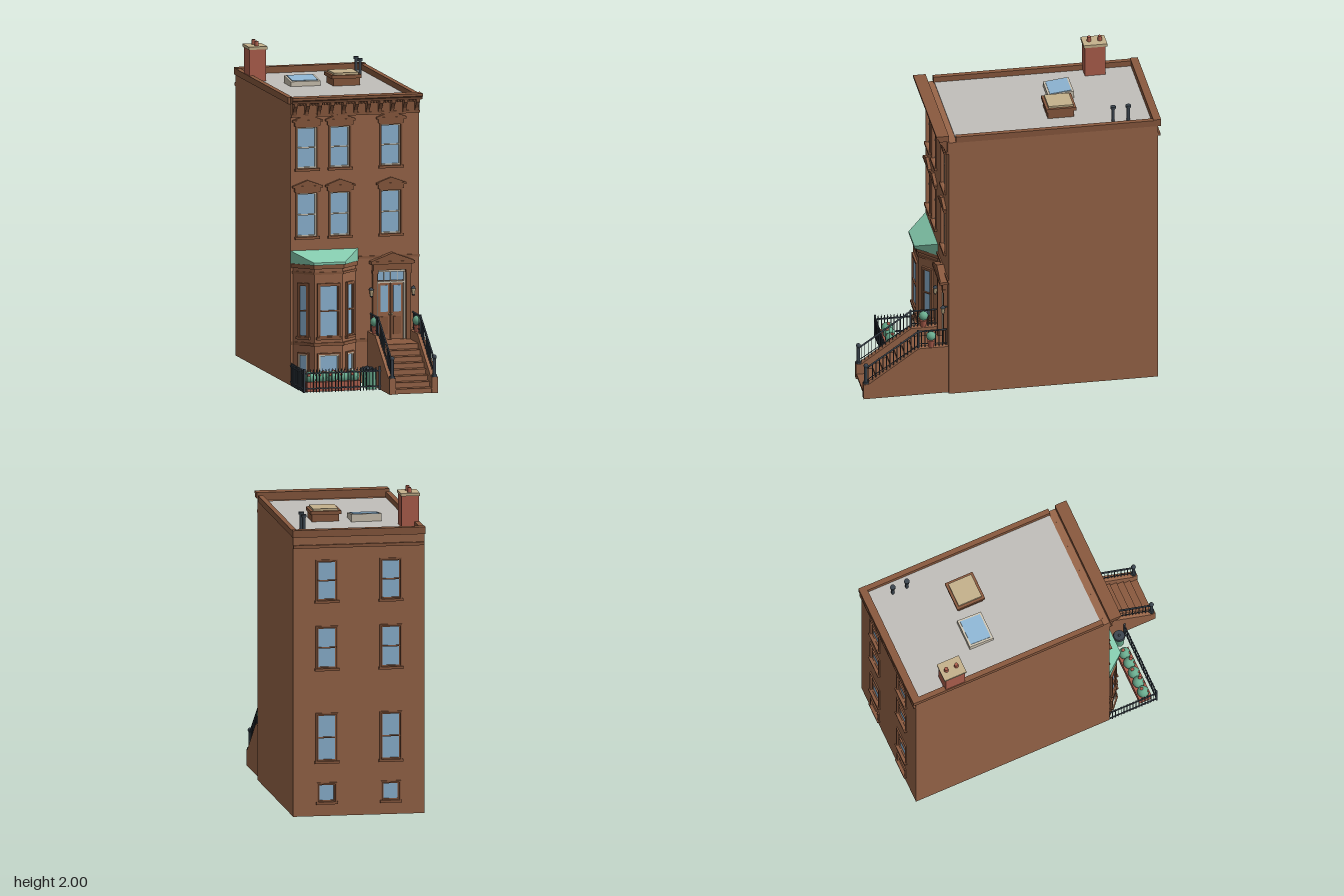
import * as THREE from 'three';
import { ConvexGeometry } from 'three/addons/geometries/ConvexGeometry.js';

const mat = (name, color) => {
  const m = new THREE.MeshStandardMaterial({ color });
  m.name = name;
  return m;
};

export function createModel() {
  const wall = mat('brownstone', 0x9a674a), trim = mat('dark brownstone', 0x8a5a3f);
  const glass = mat('window glass', 0x8fb7d6), tan = mat('tan stone', 0xc6b28c);
  const iron = mat('slate iron', 0x3c4650), roofing = mat('grey roofing', 0xc1bfbb);
  const brick = mat('red brick', 0xb0604e), leaf = mat('leaf green', 0x6bae90);
  const copper = mat('mint awning', 0x86cdb0), sash = mat('pale sash', 0xcfc6b4);
  const root = new THREE.Group();
  root.name = 'townhouse';

  // ---- helpers ----
  const add = (parent, name, geo, m, x = 0, y = 0, z = 0) => {
    const mesh = new THREE.Mesh(geo, m);
    mesh.name = name;
    mesh.position.set(x, y, z);
    parent.add(mesh);
    return mesh;
  };
  const group = (parent, name, x = 0, y = 0, z = 0, ry = 0) => {
    const g = new THREE.Group();
    g.name = name;
    g.position.set(x, y, z);
    g.rotation.y = ry;
    parent.add(g);
    return g;
  };
  // box given by its extents
  const box = (p, name, m, x0, x1, y0, y1, z0, z1) => add(p, name,
    new THREE.BoxGeometry(x1 - x0, y1 - y0, z1 - z0), m, (x0 + x1) / 2, (y0 + y1) / 2, (z0 + z1) / 2);
  const cyl = (p, name, m, r0, r1, h, x, y, z, n = 12) =>
    add(p, name, new THREE.CylinderGeometry(r1, r0, h, n), m, x, y + h / 2, z);
  const ball = (p, name, m, r, x, y, z) => add(p, name, new THREE.SphereGeometry(r, 12, 8), m, x, y, z);
  const rod = (p, name, m, a, b, r) => {
    const d = b.clone().sub(a);
    const c = add(p, name, new THREE.CylinderGeometry(r, r, d.length(), 6), m);
    c.position.copy(a).addScaledVector(d, 0.5);
    c.quaternion.setFromUnitVectors(new THREE.Vector3(0, 1, 0), d.normalize());
  };
  const V = (x, y, z) => new THREE.Vector3(x, y, z);
  const poly = pts => new THREE.Shape(pts.map(q => new THREE.Vector2(...q)));
  const extrude = (shape, depth) => new THREE.ExtrudeGeometry(shape, { depth, bevelEnabled: false });
  // profile in (z, y), swept across x from x0 to x1
  const sideProfile = (p, name, m, pts, x0, x1) =>
    add(p, name, extrude(poly(pts), x1 - x0).rotateY(-Math.PI / 2), m, x1);

  // sash window: origin at bottom centre, glass at z, frame projecting forward of it
  const sashWindow = (p, w, h, z, m, rail = true) => {
    const s = w / 2, t = 0.008;
    box(p, 'pane', glass, -s, s, 0, h, z - 0.004, z);
    for (const k of [-1, 1]) box(p, 'sashStile', m, k * (s - t / 2) - t / 2, k * (s - t / 2) + t / 2, 0, h, z, z + 0.007);
    for (const y of rail ? [0, h / 2 - t / 2, h - t] : [0, h - t]) box(p, 'sashRail', m, -s, s, y, y + t, z, z + 0.009);
  };
  const surround = (p, w, h, d) => {
    const s = w / 2, t = 0.01;
    for (const k of [-1, 1]) box(p, 'jamb', trim, k * (s + t / 2) - t / 2, k * (s + t / 2) + t / 2, 0, h, 0, d);
    box(p, 'head', trim, -s - t, s + t, h, h + t, 0, d);
    box(p, 'sill', trim, -s - 0.016, s + 0.016, -0.016, 0, 0, d + 0.008);
  };
  const pediment = (p, w, y, rise, d) => {
    box(p, 'frieze', trim, -w * 0.43, w * 0.43, y, y + 0.026, 0, d * 0.6);
    box(p, 'pedimentShelf', trim, -w / 2, w / 2, y + 0.026, y + 0.038, 0, d);
    add(p, 'gable', extrude(poly([[-w / 2, y + 0.038], [w / 2, y + 0.038], [0, y + 0.038 + rise]]), d * 0.85), trim);
  };
  // wall with real openings; outer surface at local z = 0
  const facade = (p, openings) => {
    const s = poly([[-0.41, 0], [0.41, 0], [0.41, 1.75], [-0.41, 1.75]]);
    for (const [x, y, w, h] of openings) s.holes.push(new THREE.Path(
      [[-1, 0], [-1, 1], [1, 1], [1, 0]].map(([a, b]) => new THREE.Vector2(x + a * w / 2, y + b * h))));
    add(p, 'facadeWall', extrude(s, 0.03), wall, 0, 0, -0.03);
  };

  // ---- shell, open underneath ----
  for (const k of [-1, 1]) box(root, 'sideWall', wall, k * 0.395 - 0.015, k * 0.395 + 0.015, 0, 1.75, -0.88, 0.37);
  box(root, 'roofDeck', wall, -0.38, 0.38, 1.72, 1.7495, -0.88, 0.37);
  box(root, 'roofSurface', roofing, -0.385, 0.385, 1.75, 1.755, -0.885, 0.35);
  for (const k of [-1, 1]) box(root, 'parapet', trim, k * 0.399 - 0.016, k * 0.399 + 0.016, 1.75, 1.79, -0.885, 0.355);

  // ---- front facade ----
  const front = group(root, 'frontFacade', 0, 0, 0.40);
  const tall = [];
  for (const x of [-0.305, -0.095, 0.23]) tall.push([x, 0.925, 0.125, 0.27], [x, 1.35, 0.125, 0.255]);
  facade(front, [...tall, [0.232, 0.265, 0.185, 0.43]]);
  for (const [x, y, w, h] of tall) {
    const g = group(front, 'frontWindow', x, y);
    sashWindow(g, w, h, -0.02, sash);
    surround(g, w, h, 0.008);
    pediment(g, 0.19, h + 0.01, 0.035, 0.022);
  }
  box(front, 'waterTable', trim, -0.41, 0.08, 0.255, 0.275, 0, 0.008);
  box(front, 'stringCourse', trim, 0.02, 0.41, 0.775, 0.79, 0, 0.008);

  // ---- front cornice ----
  box(front, 'corniceArchitrave', trim, -0.41, 0.41, 1.672, 1.69, 0, 0.018);
  box(front, 'corniceFrieze', trim, -0.41, 0.41, 1.69, 1.765, 0, 0.01);
  sideProfile(front, 'corniceCrown', trim, [[0, 1.762], [0.06, 1.762], [0.066, 1.778], [0.078, 1.785], [0.078, 1.8], [0, 1.8]], -0.415, 0.415);
  for (let i = 0; i < 11; i++) {
    const x = -0.39 + i * 0.078;
    sideProfile(front, 'corniceBracket', trim, [[0, 1.68], [0.02, 1.68], [0.026, 1.705], [0.042, 1.73], [0.056, 1.745], [0.058, 1.763], [0, 1.763]], x - 0.011, x + 0.011);
    for (let j = 1; j < 4 && i < 10; j++) box(front, 'dentil', trim, x + j * 0.0195 - 0.005, x + j * 0.0195 + 0.005, 1.745, 1.762, 0, 0.03);
  }

  // ---- doorway ----
  const door = group(front, 'doorway', 0.232, 0.265);
  box(door, 'doorPanelBack', trim, -0.0925, 0.0925, 0, 0.43, -0.03, -0.024);
  for (const k of [-1, 1]) {
    const a = k * 0.041;
    box(door, 'doorLeaf', wall, a - 0.038, a + 0.038, 0, 0.35, -0.024, -0.014);
    box(door, 'doorGlass', glass, a - 0.024, a + 0.024, 0.17, 0.335, -0.014, -0.011);
    box(door, 'doorPanel', trim, a - 0.024, a + 0.024, 0.03, 0.14, -0.014, -0.009);
    ball(door, 'doorKnob', tan, 0.006, k * 0.009, 0.155, -0.01);
    box(door, 'doorCasing', sash, k * 0.088 - 0.005, k * 0.088 + 0.005, 0, 0.43, -0.024, -0.006);
    box(door, 'pilaster', trim, k * 0.107 - 0.014, k * 0.107 + 0.014, 0, 0.435, 0, 0.022);
    box(door, 'pilasterCapital', trim, k * 0.107 - 0.019, k * 0.107 + 0.019, 0.415, 0.435, 0, 0.03);
    // wall lantern
    const l = group(door, 'lantern', k * 0.134, 0.28, 0.03);
    box(l, 'lanternArm', iron, -0.004, 0.004, 0.036, 0.044, -0.03, 0);
    cyl(l, 'lanternLamp', tan, 0.009, 0.014, 0.036, 0, 0, 0, 6);
    cyl(l, 'lanternCap', iron, 0.018, 0.003, 0.016, 0, 0.036, 0, 6);
    cyl(l, 'lanternFoot', iron, 0.004, 0.01, 0.01, 0, -0.01, 0, 6);
  }
  box(door, 'transomGlass', glass, -0.083, 0.083, 0.365, 0.42, -0.024, -0.015);
  for (const y of [0.355, 0.424]) box(door, 'transomRail', sash, -0.088, 0.088, y - 0.005, y + 0.005, -0.024, -0.006);
  for (const x of [-0.042, 0, 0.042]) box(door, 'transomBar', sash, x - 0.002, x + 0.002, 0.36, 0.42, -0.016, -0.011);
  box(door, 'entablature', trim, -0.122, 0.122, 0.435, 0.475, 0, 0.03);
  box(door, 'doorShelf', trim, -0.14, 0.14, 0.475, 0.493, 0, 0.05);
  add(door, 'doorGable', extrude(poly([[-0.14, 0.493], [0.14, 0.493], [0, 0.545]]), 0.045), trim);

  // ---- bay window ----
  const bay = group(root, 'bayWindow', -0.195, 0, 0.40);
  const prism = (name, m, y0, y1, e) => add(bay, name, extrude(poly(
    [[-0.2 - e, 0], [-0.09 - e / 2, -0.1 - e], [0.09 + e / 2, -0.1 - e], [0.2 + e, 0]].reverse()), y1 - y0).rotateX(-Math.PI / 2), m, 0, y0);
  prism('bayBody', wall, 0, 0.75, 0);
  prism('bayPlinth', trim, 0, 0.04, 0.007);
  prism('bayBand', trim, 0.255, 0.275, 0.01);
  prism('bayFrieze', trim, 0.70, 0.715, 0.007);
  prism('bayCornice', trim, 0.735, 0.76, 0.012);
  for (const [x, z, ry, w] of [[0, 0.1, 0, 0.125], [-0.145, 0.05, -0.738, 0.06], [0.145, 0.05, 0.738, 0.06]]) {
    for (const [y, h] of [[0.31, 0.325], [0.09, 0.11]]) {
      const g = group(bay, 'bayPane', x, y, z, ry);
      sashWindow(g, w, h, 0.004, y > 0.2 ? trim : sash, y > 0.2);
      surround(g, w, h, 0.013);
    }
  }
  const awningPts = [];
  for (const k of [-1, 1]) awningPts.push(V(k * 0.215, 0.84, 0), V(k * 0.215, 0.762, 0), V(k * 0.1, 0.778, 0.127), V(k * 0.1, 0.762, 0.127));
  add(bay, 'awning', new ConvexGeometry(awningPts), copper);

  // ---- back facade ----
  const back = group(root, 'backFacade', 0, 0, -0.91, Math.PI);
  const rear = [];
  for (const x of [-0.2, 0.2]) rear.push([x, 0.09, 0.105, 0.11], [x, 0.345, 0.12, 0.29], [x, 0.925, 0.12, 0.255], [x, 1.35, 0.12, 0.245]);
  facade(back, rear);
  for (const [x, y, w, h] of rear) {
    const g = group(back, 'backWindow', x, y);
    sashWindow(g, w, h, -0.012, trim, h > 0.2);
    surround(g, w, h, 0.008);
  }
  box(back, 'backStringCourse', trim, -0.41, 0.41, 1.68, 1.7, 0, 0.014);
  box(back, 'backParapet', trim, -0.415, 0.415, 1.75, 1.795, -0.03, 0.018);

  // ---- stoop ----
  const stoop = group(root, 'stoop');
  for (let i = 0; i < 8; i++) {
    const y = 0.033 * (i + 1), z = 0.92 - 0.046 * i, zb = i === 7 ? 0.4 : z - 0.056;
    box(stoop, 'step', wall, 0.12, 0.35, y - 0.033, y - 0.007, zb, z);
    box(stoop, 'tread', trim, 0.12, 0.35, y - 0.007, y, zb, z + 0.006);
  }
  const cheek = [[0.4, 0], [0.93, 0], [0.93, 0.1], [0.9, 0.1], [0.585, 0.32], [0.4, 0.32]];
  const cheekTop = z => Math.min(0.32, Math.max(0.1, 0.32 - (z - 0.585) * 0.698));
  for (const x of [0.1, 0.37]) {
    sideProfile(stoop, 'stoopCheek', wall, cheek, x - 0.02, x + 0.02);
    const rail = group(stoop, 'stoopRailing', x);
    const top = [V(0, 0.43, 0.405), V(0, 0.43, 0.585), V(0, 0.205, 0.91)];
    for (let i = 0; i < 2; i++) {
      rod(rail, 'handrail', iron, top[i], top[i + 1], 0.006);
      rod(rail, 'lowerRail', iron, top[i].clone().setY(top[i].y - 0.095), top[i + 1].clone().setY(top[i + 1].y - 0.085), 0.003);
    }
    for (let z = 0.41; z < 0.9; z += 0.022) {
      const y = z < 0.585 ? 0.43 : 0.43 - (z - 0.585) * 0.692;
      rod(rail, 'baluster', iron, V(0, cheekTop(z), z), V(0, y, z), 0.0025);
    }
    cyl(rail, 'newelBase', iron, 0.018, 0.018, 0.012, 0, 0.1, 0.912, 8);
    cyl(rail, 'newelPost', iron, 0.011, 0.011, 0.105, 0, 0.11, 0.912, 8);
    ball(rail, 'newelBall', iron, 0.015, 0, 0.222, 0.912);
    cyl(rail, 'landingPost', iron, 0.007, 0.007, 0.12, 0, 0.318, 0.585, 8);
    // potted topiary
    cyl(stoop, 'planterPot', brick, 0.017, 0.024, 0.045, x, 0.32, 0.505);
    ball(stoop, 'topiary', leaf, 0.03, x, 0.393, 0.505);
  }

  // ---- front yard: fence, flower box, bins ----
  const yard = group(root, 'frontYard');
  const picket = (x, z) => {
    cyl(yard, 'picket', iron, 0.003, 0.003, 0.13, x, 0, z, 6);
    cyl(yard, 'picketTip', iron, 0.005, 0.0005, 0.018, x, 0.13, z, 6);
  };
  for (let i = 0; i <= 24; i++) picket(-0.41 + i * 0.02, 0.718);
  for (let i = 1; i < 16; i++) picket(-0.41, 0.718 - i * 0.02);
  for (const y of [0.025, 0.12]) {
    box(yard, 'fenceRail', iron, -0.413, 0.08, y - 0.004, y + 0.004, 0.714, 0.722);
    box(yard, 'fenceSideRail', iron, -0.414, -0.406, y - 0.004, y + 0.004, 0.4, 0.72);
  }
  for (const x of [-0.408, 0.072]) cyl(yard, 'fencePost', iron, 0.007, 0.007, 0.15, x, 0, 0.718, 8);
  box(yard, 'flowerBox', brick, -0.39, -0.04, 0, 0.06, 0.61, 0.692);
  for (let i = 0; i < 5; i++) {
    const x = -0.353 + i * 0.069;
    ball(yard, 'shrub', leaf, 0.038, x, 0.083, 0.651);
    ball(yard, 'blossom', brick, 0.011, x + 0.01, 0.117, 0.651 + (i % 2 ? 0.014 : -0.006));
    ball(yard, 'blossom', brick, 0.009, x - 0.014, 0.1, 0.676);
  }
  for (const z of [0.58, 0.662]) {
    cyl(yard, 'binBody', leaf, 0.03, 0.035, 0.11, 0.03, 0, z, 16);
    cyl(yard, 'binLid', iron, 0.039, 0.034, 0.015, 0.03, 0.11, z, 16);
    ball(yard, 'binHandle', iron, 0.008, 0.03, 0.126, z);
  }

  // ---- roof fittings ----
  const top = group(root, 'roofFittings');
  box(top, 'chimney', brick, -0.41, -0.302, 1.75, 1.952, -0.708, -0.578);
  box(top, 'chimneyCap', tan, -0.415, -0.296, 1.952, 1.97, -0.718, -0.57);
  for (const z of [-0.68, -0.612]) cyl(top, 'chimneyPot', brick, 0.014, 0.012, 0.03, -0.355, 1.97, z);
  sideProfile(top, 'skylightCurb', sash, [[-0.46, 1.75], [-0.3, 1.75], [-0.3, 1.785], [-0.46, 1.803]], -0.22, -0.03);
  sideProfile(top, 'skylightGlass', glass, [[-0.447, 1.79], [-0.313, 1.78], [-0.313, 1.79], [-0.447, 1.806]], -0.207, -0.043);
  box(top, 'hatchCurb', trim, 0.04, 0.21, 1.75, 1.8, -0.42, -0.255);
  box(top, 'hatchRim', trim, 0.028, 0.218, 1.8, 1.822, -0.432, -0.245);
  box(top, 'hatchLid', tan, 0.045, 0.202, 1.822, 1.835, -0.416, -0.261);
  for (const z of [-0.74, -0.645]) {
    cyl(top, 'ventPipe', iron, 0.01, 0.01, 0.095, 0.315, 1.75, z);
    cyl(top, 'ventCap', iron, 0.017, 0.017, 0.016, 0.315, 1.845, z);
  }
  return root;
}
